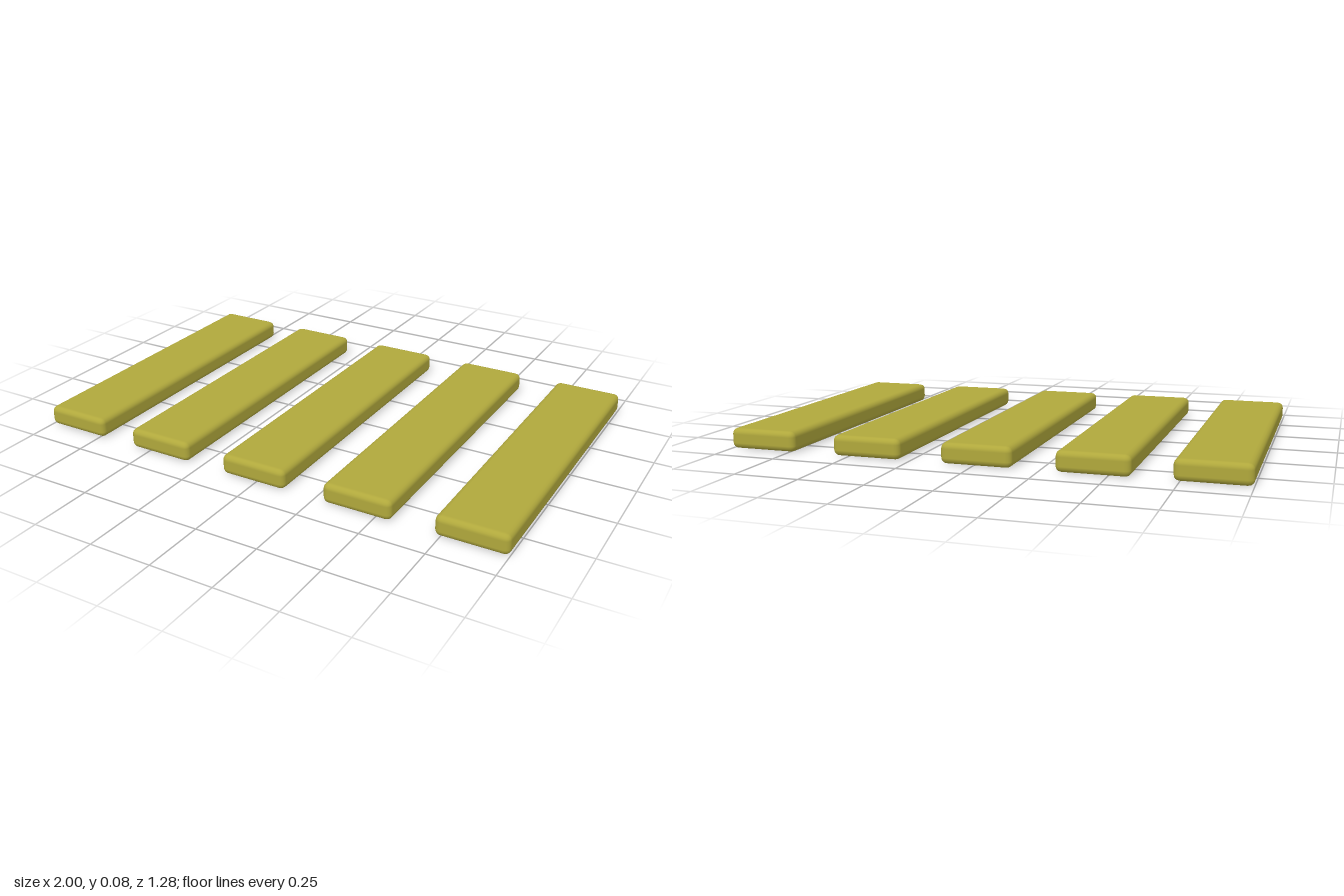
import * as THREE from 'three';
import { RoundedBoxGeometry } from 'three/addons/geometries/RoundedBoxGeometry.js';

export function createModel() {
  const model = new THREE.Group();
  model.name = 'plankRow';
  const material = new THREE.MeshStandardMaterial({ color: 0xb0a83c });

  // One softly rounded plank, shared by the whole row
  const width = 0.274, height = 0.08, length = 1.276;
  const geometry = new RoundedBoxGeometry(width, height, length, 2, 0.023);

  // Slightly uneven spacing along x
  [-0.863, -0.445, -0.011, 0.425, 0.863].forEach((x, i) => {
    const plank = new THREE.Mesh(geometry, material);
    plank.name = `plank${i + 1}`;
    plank.position.set(x, height / 2, 0);
    model.add(plank);
  });

  return model;
}
